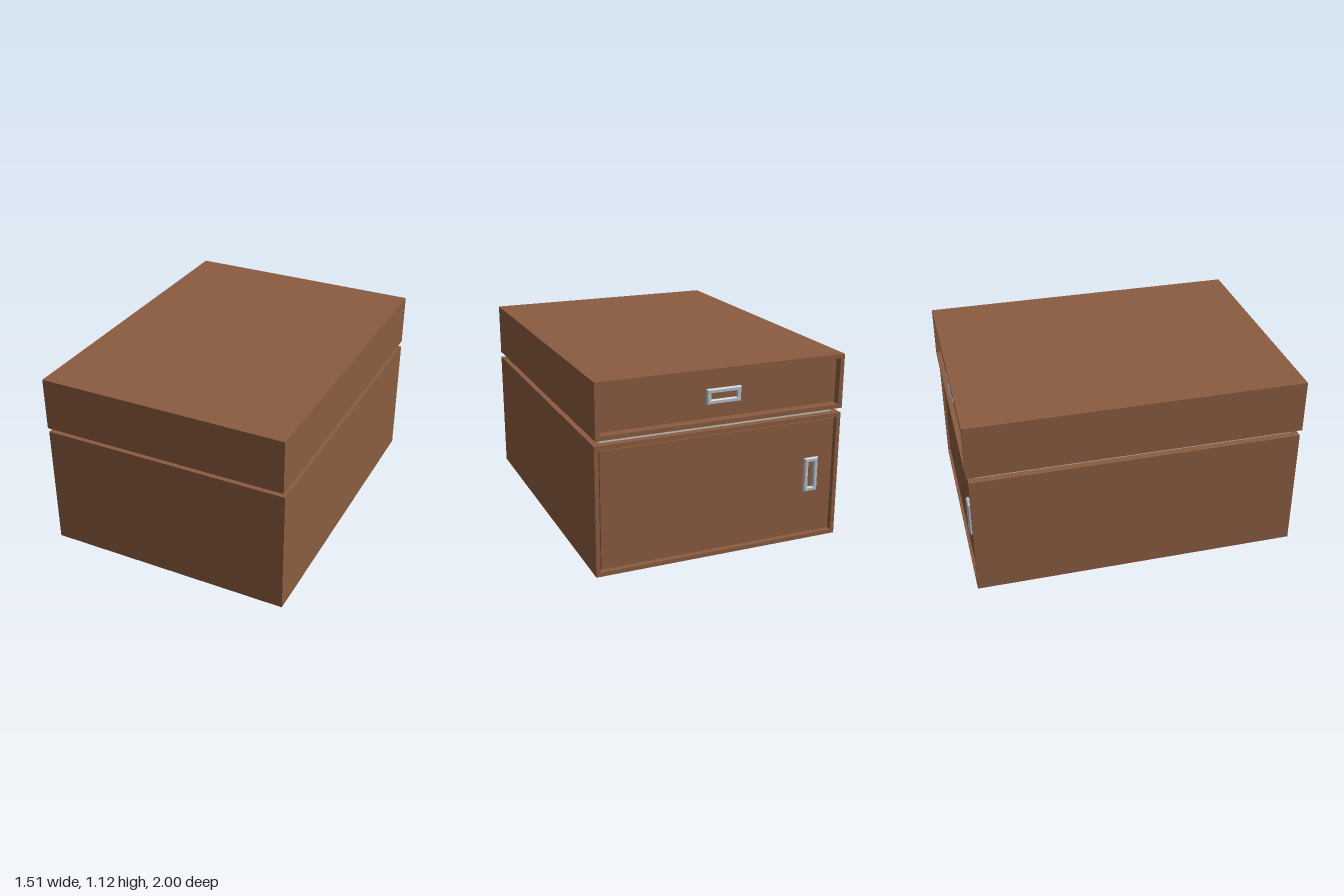
import * as THREE from 'three';

export function createModel() {
  const wood = new THREE.MeshStandardMaterial({ color: 0x8b5c40 });
  wood.name = 'brown wood';
  const spacerGrey = new THREE.MeshStandardMaterial({ color: 0xc6c8c6 });
  spacerGrey.name = 'light grey';
  const steel = new THREE.MeshStandardMaterial({ color: 0xb8c0c8 });
  steel.name = 'brushed steel';

  const model = new THREE.Group();
  model.name = 'storageCabinet';

  function box(parent, name, w, h, d, x, y, z, material) {
    const mesh = new THREE.Mesh(new THREE.BoxGeometry(w, h, d), material);
    mesh.name = name;
    mesh.position.set(x, y, z);
    parent.add(mesh);
  }

  // Rectangular ring, starting at z and reaching depth towards +z
  function ring(parent, name, w, h, rim, depth, x, y, z, material, bevel = 0) {
    const rect = (target, a, b) => target
      .moveTo(-a, -b).lineTo(a, -b).lineTo(a, b).lineTo(-a, b).closePath();
    const shape = rect(new THREE.Shape(), w / 2 - bevel, h / 2 - bevel);
    shape.holes.push(rect(new THREE.Path(), w / 2 - rim + bevel, h / 2 - rim + bevel));
    const geometry = new THREE.ExtrudeGeometry(shape, {
      depth: depth - 2 * bevel, bevelEnabled: bevel > 0,
      bevelSize: bevel, bevelThickness: bevel, bevelSegments: 1,
    });
    geometry.translate(0, 0, bevel);
    const mesh = new THREE.Mesh(geometry, material);
    mesh.name = name;
    mesh.position.set(x, y, z);
    parent.add(mesh);
  }

  // Carcass with a framed recess at the back, holding a panel and its handle
  function unit(name, { width, length, bottom, top, recess, handle }) {
    const group = new THREE.Group();
    group.name = name;
    model.add(group);
    const h = top - bottom, y = (top + bottom) / 2, back = -length / 2;
    const rim = 0.025, gap = 0.01, panelDepth = 0.03;
    const cavity = recess + panelDepth;
    box(group, 'carcass', width, h, length - cavity, 0, y, cavity / 2, wood);
    ring(group, 'rimFrame', width, h, rim, cavity, 0, y, back, wood);
    box(group, 'panel', width - 2 * (rim + gap), h - 2 * (rim + gap), panelDepth,
      0, y, back + recess + panelDepth / 2, wood);
    ring(group, 'handle', handle.w, handle.h, 0.028, 0.022,
      handle.x, handle.y, back + recess - 0.021, steel, 0.006);
  }

  unit('cupboard', {
    width: 1.515, length: 1.974, bottom: 0, top: 0.765, recess: 0.015,
    handle: { w: 0.09, h: 0.21, x: -0.575, y: 0.405 },
  });
  unit('drawer', {
    width: 1.508, length: 2, bottom: 0.797, top: 1.12, recess: 0.03,
    handle: { w: 0.21, h: 0.09, x: 0, y: 0.958 },
  });

  // Inset spacer between cupboard and drawer
  box(model, 'spacer', 1.43, 0.032, 1.886, 0, 0.781, 0, spacerGrey);

  return model;
}
